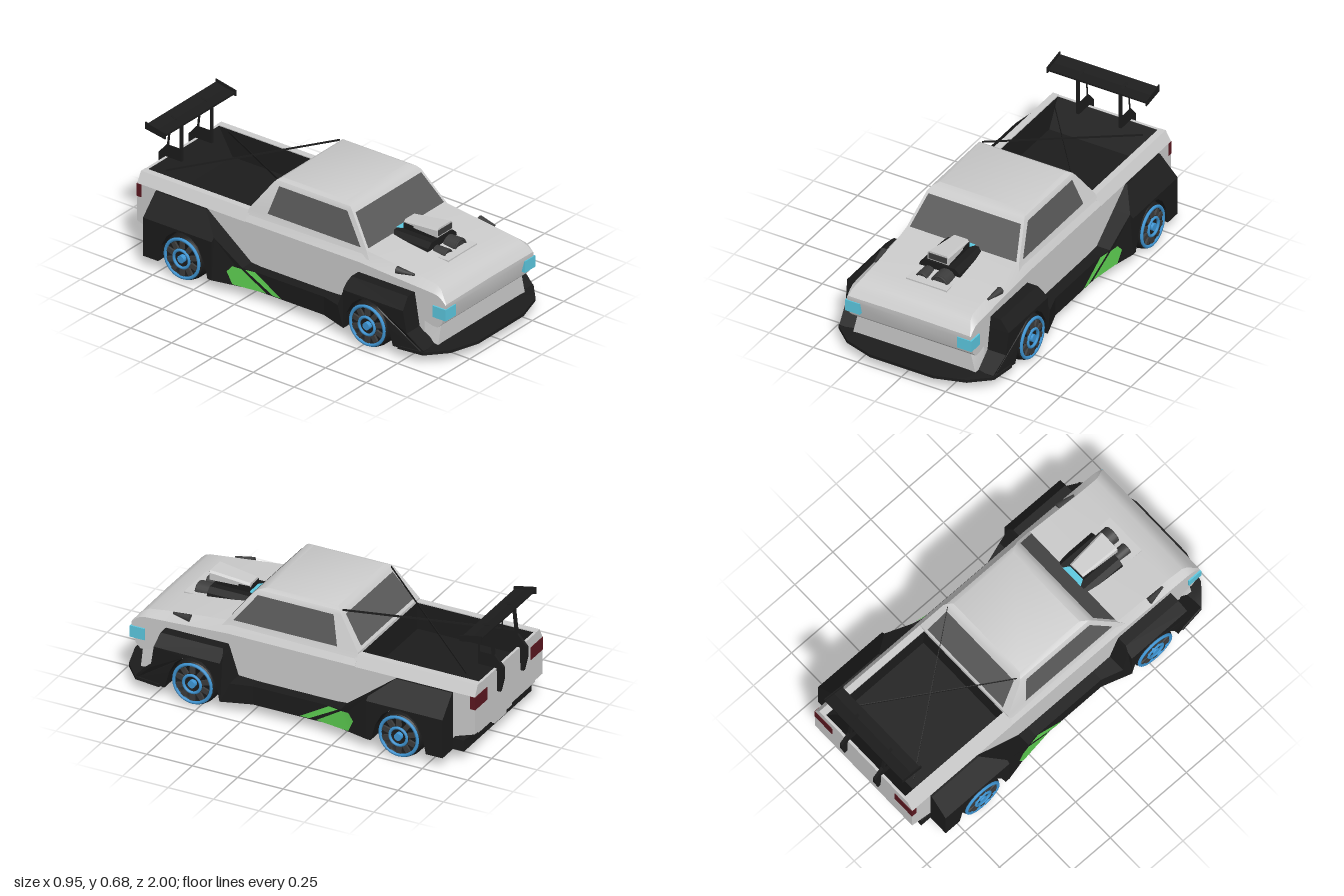
import * as THREE from 'three';
import { toCreasedNormals } from 'three/addons/utils/BufferGeometryUtils.js';

const mat = (color, side = THREE.FrontSide) => new THREE.MeshStandardMaterial({ color, side });
const GREY = mat(0xcccccc), BLACK = mat(0x1c1c1c), DARK = mat(0x3c3c3c);
const GLASS = mat(0x5a5a5a, THREE.DoubleSide), LINER = mat(0x1c1c1c, THREE.DoubleSide);
const BLUE = mat(0x3f97d6), CYAN = mat(0x5cc8e0), RED = mat(0x5c1820), GREEN = mat(0x5ccc50, THREE.DoubleSide);

export function createModel() {
  const car = new THREE.Group();
  car.name = 'pickupTruck';

  const add = (name, geo, material, parent = car) => {
    const m = new THREE.Mesh(geo, material);
    m.name = name;
    parent.add(m);
    return m;
  };
  const pair = (name, geo, material) => {
    add(name + 'Left', geo, material);
    add(name + 'Right', geo, material).scale.x = -1;
  };
  const box = (x0, x1, y0, y1, z0, z1) => new THREE.BoxGeometry(x1 - x0, y1 - y0, z1 - z0)
    .translate((x0 + x1) / 2, (y0 + y1) / 2, (z0 + z1) / 2);

  // Skin over equal-length rings of [x, y, z], turned outward
  function loft(rings, capEnd = true, crease = 0.4) {
    const n = rings[0].length, last = (rings.length - 1) * n, p = rings.flat();
    let tris = [];
    for (let k = 0; k < last; k += n) for (let i = 0; i < n; i++) {
      const j = (i + 1) % n;
      tris.push([k + i, k + j, k + n + j], [k + i, k + n + j, k + n + i]);
    }
    for (let i = 1; i < n - 1; i++) {
      tris.push([0, i + 1, i]);
      if (capEnd) tris.push([last, last + i, last + i + 1]);
    }
    const v = p.map(q => new THREE.Vector3(...q));
    const volume = tris.reduce((s, [a, b, c]) => s + v[a].dot(v[b].clone().cross(v[c])), 0);
    if (volume < 0) tris = tris.map(([a, b, c]) => [a, c, b]);
    const g = new THREE.BufferGeometry();
    g.setAttribute('position', new THREE.Float32BufferAttribute(p.flat(), 3));
    g.setIndex(tris.flat());
    return toCreasedNormals(g, crease);
  }

  // Side outline in [z, y], extruded from x0 to x1
  const outline = pts => new THREE.Shape(pts.map(([z, y]) => new THREE.Vector2(z, y)));
  const slab = (shape, x0, x1) => new THREE.ExtrudeGeometry(shape, { depth: x1 - x0, bevelEnabled: false })
    .rotateY(-Math.PI / 2).translate(x1, 0, 0);
  const warpX = (g, rule) => {
    const p = g.attributes.position;
    for (let i = 0; i < p.count; i++) p.setX(i, rule(p.getX(i), p.getY(i), p.getZ(i)));
    g.computeVertexNormals();
    return g;
  };

  const FRONT = 0.535, REAR = -0.6;
  // Wheel arch from back to front
  const arch = c => [[-0.148, 0.06], [-0.13, 0.15], [-0.095, 0.215], [-0.05, 0.252], [0, 0.262],
    [0.05, 0.252], [0.095, 0.215], [0.13, 0.15], [0.155, 0.06]].map(([z, y]) => [z + c, y]);

  // Lower body with deep wheel wells, and the bumper tucked in below the nose
  add('chassis', box(-0.18, 0.18, 0.06, 0.275, -0.84, 0.8), GREY);
  pair('lowerSide', slab(outline([[0.8, 0.06], [0.8, 0.28], [-0.84, 0.28], [-0.84, 0.06],
    ...arch(REAR), ...arch(FRONT)]), 0.18, 0.35), GREY);
  add('frontBumper', loft([[0.06, 0.35], [0.185, 0.32]].map(([y, x]) =>
    [[x, y, 0.88], [0.35, y, 0.79], [-0.35, y, 0.79], [-x, y, 0.88]])), GREY);

  // Nose, hood and door shoulders: z, bottom, shoulder, top half width, top
  const hood = [[0.93, 0.29, 0.31, 0.345, 0.315], [0.905, 0.2, 0.335, 0.335, 0.345], [0.88, 0.176, 0.35, 0.32, 0.37],
    [0.85, 0.176, 0.355, 0.312, 0.385], [0.76, 0.2, 0.36, 0.31, 0.397], [0.72, 0.262, 0.362, 0.31, 0.402],
    [0.4, 0.262, 0.38, 0.315, 0.437], [-0.3, 0.262, 0.378, 0.318, 0.43]];
  add('hoodAndDoors', loft(hood.map(([z, b, s, xt, t]) =>
    [[0, b, z], [0.35, b, z], [0.35, s, z], [xt, t, z],
      [0, t + 0.004, z], [-xt, t, z], [-0.35, s, z], [-0.35, b, z]])), GREY);

  // Cab tapering to the roof: y, half width, front z, back z
  const cab = [[0.4, 0.335, 0.45, -0.302], [0.437, 0.318, 0.42, -0.3], [0.597, 0.275, 0.3, -0.185],
    [0.613, 0.264, 0.28, -0.172], [0.624, 0.24, 0.24, -0.15]];
  add('cab', loft(cab.map(([y, x, f, b]) => [[x, y, f], [x, y, b], [-x, y, b], [-x, y, f]]), true, 0.5), GREY);
  const [, lo, hi] = cab;
  const at = (y, i) => lo[i] + (hi[i] - lo[i]) * (y - lo[0]) / (hi[0] - lo[0]);
  const pane = pts => {
    const g = new THREE.BufferGeometry();
    g.setAttribute('position', new THREE.Float32BufferAttribute(pts.flat(), 3));
    g.setIndex([0, 1, 2, 0, 2, 3]);
    g.computeVertexNormals();
    return g;
  };
  const endPane = (i, off, y0, y1, x0, x1) => pane([[-x0, y0, at(y0, i) + off], [x0, y0, at(y0, i) + off],
    [x1, y1, at(y1, i) + off], [-x1, y1, at(y1, i) + off]]);
  add('windshield', endPane(2, 0.003, 0.442, 0.588, 0.302, 0.262), GLASS);
  add('rearWindow', endPane(3, -0.003, 0.452, 0.59, 0.272, 0.242), GLASS);
  pair('sideWindow', pane([[0.385, 0.444], [-0.185, 0.444], [-0.145, 0.592], [0.272, 0.592]]
    .map(([z, y]) => [at(y, 1) + 0.003, y, z])), GLASS);

  // Cargo bed
  pair('bedSide', loft([[-0.29, 0.262], [-0.77, 0.262], [-0.84, 0.13], [-0.96, 0.17]].map(([z, b]) =>
    [[0.285, b, z], [0.35, b, z], [0.35, 0.375, z], [0.32, 0.43, z], [0.285, 0.43, z]])), GREY);
  add('tailgate', box(-0.29, 0.29, 0.17, 0.428, -0.96, -0.946), GREY);
  add('bedUnderside', box(-0.29, 0.29, 0.15, 0.24, -0.95, -0.83), GREY);
  add('bedLiner', loft([[0.285, 0.28, -0.86, -0.31], [0.426, 0.284, -0.946, -0.304]].map(([y, x, b, f]) =>
    [[x, y, f], [x, y, b], [-x, y, b], [-x, y, f]]), false), LINER);
  // Crossed flat straps from the roof to the tailgate
  for (const s of [1, -1]) add('bedStrap' + (s > 0 ? 'A' : 'B'), loft([[-s * 0.25, 0.435, -0.86], [s * 0.25, 0.612, -0.18]]
    .map(([x, y, z]) => [[-1, -1], [1, -1], [1, 1], [-1, 1]].map(([a, b]) => [x + a * 0.002, y + b * 0.005, z]))), BLACK);

  // Wide fenders and sills, sloping inward at the top
  const flare = z => {
    const t = Math.max((z - 0.23) / 0.155, (-0.2 - z) / 0.22, 0);
    return 0.41 + 0.05 * Math.min(t, 1) - Math.max(z - 0.74, 0) * 0.2;
  };
  const trim = {
    frontFender: [[0.86, 0.06], [0.86, 0.075], [0.77, 0.15], [0.75, 0.27], [0.385, 0.27], [0.385, 0.06], ...arch(FRONT)],
    frontFenderTop: [[0.75, 0.27], [0.74, 0.326], [0.395, 0.326], [0.385, 0.3], [0.385, 0.27]],
    frontSill: [[0.385, 0.06], [0.385, 0.3], [0.34, 0.165], [0.23, 0.16], [0.23, 0.06]],
    sill: [[0.23, 0.06], [0.23, 0.16], [-0.2, 0.16], [-0.2, 0.06]],
    rearSill: [[-0.2, 0.06], [-0.2, 0.16], [-0.26, 0.165], [-0.42, 0.288], [-0.42, 0.06]],
    rearFender: [[-0.42, 0.06], [-0.42, 0.27], [-0.84, 0.27], [-0.84, 0.06], ...arch(REAR)],
    rearFenderTop: [[-0.42, 0.27], [-0.42, 0.288], [-0.53, 0.374], [-0.84, 0.374], [-0.84, 0.27]],
  };
  for (const [name, pts] of Object.entries(trim))
    pair(name, warpX(slab(outline(pts), 0.34, 0.46), (x, y, z) =>
      x < 0.4 ? x : flare(z) - Math.max(y - 0.27, 0) * 0.96), BLACK);

  // Green sill stripes
  [[[-0.03, 0.065], [-0.08, 0.065], [-0.245, 0.16], [-0.19, 0.16]],
    [[-0.12, 0.065], [-0.31, 0.065], [-0.34, 0.13], [-0.31, 0.165], [-0.265, 0.16]]].forEach((pts, i) =>
    pair('sillStripe' + (i + 1), warpX(new THREE.ShapeGeometry(outline(pts)).rotateY(-Math.PI / 2),
      (x, y, z) => flare(z) + 0.003), GREEN));

  // Front splitter with a grey undertray
  const lip = [[0.46, 0.72], [0.442, 0.86], [0.34, 0.95], [0.18, 1], [-0.18, 1], [-0.34, 0.95], [-0.442, 0.86], [-0.46, 0.72]];
  const lipRing = (y, kx, kz) => lip.map(([x, z]) => [x * kx, y, 0.72 + (z - 0.72) * kz]);
  add('splitter', loft([lipRing(0.054, 1, 1), lipRing(0.07, 1, 1), lipRing(0.08, 0.9, 0.72)], true, 0.3), BLACK);
  add('undertray', loft([lipRing(0.051, 0.98, 0.97), lipRing(0.056, 0.98, 0.97)]), GREY);

  // Rear bumper and hitch step
  add('rearBumper', box(-0.35, 0.35, 0.06, 0.12, -0.9, -0.83), BLACK);
  add('rearBumperTop', box(-0.33, 0.33, 0.11, 0.16, -0.87, -0.83), BLACK);
  add('hitchStep', box(-0.1, 0.1, 0.108, 0.122, -0.925, -0.86), GREY);
  add('hitchBracket', box(-0.06, 0.06, 0.08, 0.11, -0.915, -0.88), GREY);

  // Lamps
  pair('headlight', box(0.276, 0.358, 0.23, 0.292, 0.855, 0.935), CYAN);
  pair('taillight', box(0.225, 0.352, 0.305, 0.374, -0.963, -0.935), RED);

  // Engine and scoop
  const engineEnd = z => [[0.12, 0.4, z], [0.112, 0.43, z], [0.085, 0.453, z], [-0.085, 0.453, z], [-0.112, 0.43, z], [-0.12, 0.4, z]];
  add('engineBlock', loft([engineEnd(0.4), engineEnd(0.64)]), BLACK);
  add('scoopBase', box(-0.05, 0.05, 0.45, 0.485, 0.44, 0.62), BLACK);
  const scoopRing = (z, x, y0, y1) => [[x, y0, z], [x, y1 - 0.01, z], [x - 0.01, y1, z],
    [0.01 - x, y1, z], [-x, y1 - 0.01, z], [-x, y0, z]];
  add('scoop', loft([scoopRing(0.44, 0.046, 0.476, 0.498), scoopRing(0.655, 0.06, 0.474, 0.522)]), GREY);
  add('scoopMouth', box(-0.052, 0.052, 0.481, 0.512, 0.65, 0.658), DARK);
  add('scoopTail', loft([[0.4, 0.07], [0.44, 0.046]].map(([z, x]) =>
    [[x, 0.45, z], [x, 0.457, z], [-x, 0.457, z], [-x, 0.45, z]])), CYAN);
  add('engineBase', box(-0.115, 0.115, 0.38, 0.407, 0.64, 0.765), GREY);
  [[0.045, 0.05], [-0.055, 0.034]].forEach(([x, r], i) => {
    add('pulley' + i, new THREE.CylinderGeometry(r, r, 0.07, 20).rotateX(Math.PI / 2).translate(x, 0.395, 0.68), DARK);
    add('pulleyRim' + i, new THREE.TorusGeometry(r * 0.85, 0.006, 6, 20).translate(x, 0.395, 0.716), DARK);
  });
  // Side exhaust tips on the hood
  pair('exhaustTip', new THREE.CylinderGeometry(0.02, 0.006, 0.1, 8).rotateX(-Math.PI / 2).rotateY(-0.1)
    .translate(0.325, 0.4, 0.665), DARK);

  // Rear wing on two hooked supports
  const support = outline([[-0.86, 0.645], [-0.86, 0.43], [-0.962, 0.43], [-0.965, 0.305], [-0.982, 0.305],
    [-1, 0.38], [-1, 0.44], [-0.948, 0.5], [-0.93, 0.66]]);
  support.holes.push(new THREE.Path([[-0.87, 0.635], [-0.87, 0.5], [-0.934, 0.5], [-0.919, 0.64]]
    .map(q => new THREE.Vector2(...q))));
  pair('wingSupport', slab(support, 0.112, 0.128), BLACK);
  add('wingBlade', slab(outline([[-0.845, 0.635], [-0.845, 0.645], [-0.9, 0.652], [-0.96, 0.668], [-0.96, 0.66],
    [-0.9, 0.642]]), -0.28, 0.28), BLACK);
  pair('wingEndPlate', slab(outline([[-0.84, 0.625], [-0.84, 0.657], [-0.962, 0.682], [-0.962, 0.645]]), 0.278, 0.284), BLACK);

  // Wheels
  const profile = [[0.05, 0.31], [0.1, 0.3], [0.115, 0.308], [0.122, 0.33], [0.122, 0.425], [0.116, 0.452], [0.1, 0.464], [0.088, 0.455], [0, 0.45]];
  const tyreGeo = toCreasedNormals(new THREE.LatheGeometry(profile.map(q => new THREE.Vector2(...q)), 28)
    .rotateZ(-Math.PI / 2), 0.6);
  const ring = (r, t, x) => new THREE.TorusGeometry(r, t, 6, 28).rotateY(Math.PI / 2).translate(x, 0, 0);
  const disc = (r, x0, x1) => new THREE.CylinderGeometry(r, r, x1 - x0, 20).rotateZ(Math.PI / 2).translate((x0 + x1) / 2, 0, 0);
  for (const side of [1, -1]) for (const [end, z] of [['front', FRONT], ['rear', REAR]]) {
    const wheel = new THREE.Group();
    wheel.name = end + 'Wheel' + (side > 0 ? 'Left' : 'Right');
    wheel.position.set(0, 0.122, z);
    wheel.scale.x = side;
    add('tyre', tyreGeo, BLACK, wheel);
    add('rimRing', ring(0.103, 0.009, 0.461), BLUE, wheel);
    add('hubRing', ring(0.047, 0.008, 0.466), BLUE, wheel);
    add('hub', disc(0.02, 0.45, 0.474), BLUE, wheel);
    add('innerRim', disc(0.085, 0.302, 0.32), DARK, wheel);
    add('innerHub', disc(0.045, 0.298, 0.31), GREY, wheel);
    for (let i = 0; i < 10; i++)
      add('spoke', box(0.448, 0.466, 0.055, 0.092, -0.013, 0.013).rotateX(i * Math.PI / 5), DARK, wheel);
    car.add(wheel);
  }
  return car;
}
